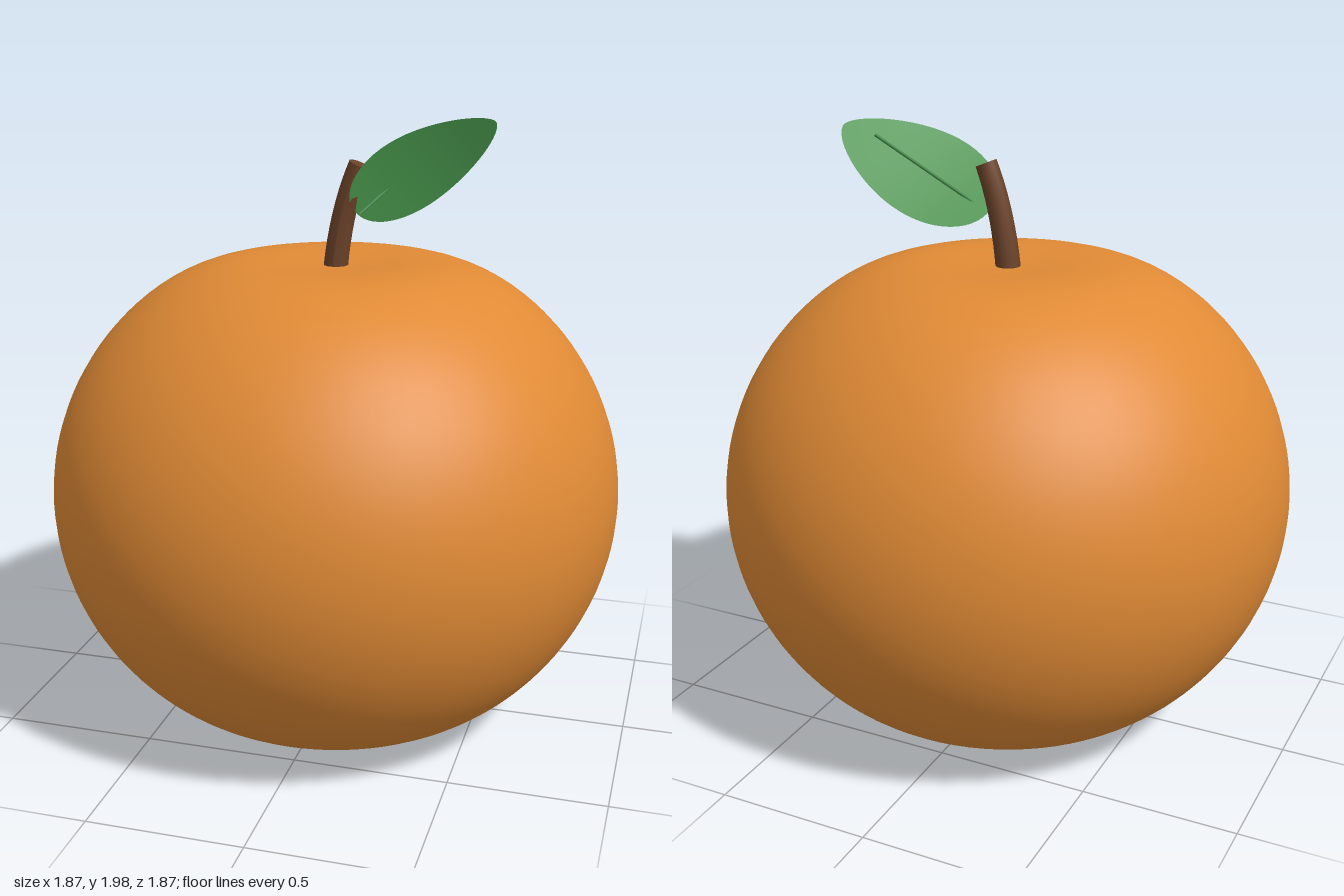
import * as THREE from 'three';

const mat = (name, color) => {
  const m = new THREE.MeshStandardMaterial({ color });
  m.name = name;
  return m;
};

const add = (group, name, geometry, material) => {
  const mesh = new THREE.Mesh(geometry, material);
  mesh.name = name;
  group.add(mesh);
  return mesh;
};

// Squashed sphere profile with a shallow dimple at both poles
function bodyGeometry() {
  const R = 0.935, H = 0.865, steps = 64, pts = [];
  for (let i = 0; i <= steps; i++) {
    const a = Math.PI * (i / steps - 0.5);
    const r = i === 0 || i === steps ? 0 : R * Math.cos(a);
    const dimple = 0.112 * Math.exp(-(r * r) / 0.122);
    pts.push(new THREE.Vector2(r, 0.771 + H * Math.sin(a) - Math.sign(a) * dimple));
  }
  return new THREE.LatheGeometry(pts, 80);
}

// Leaf frame: base point, length, width and the direction of the back face
const base = new THREE.Vector3(0.07, 1.69, 0);
const along = new THREE.Vector3(0.4, 0.28, -0.2);
const across = new THREE.Vector3(0.13, -0.19, -0.21);
const normal = along.clone().cross(across).normalize();

const leafPoint = (s, u) => {
  const half = 0.5 * Math.pow(Math.max(0, Math.sin(Math.PI * Math.pow(s, 0.75))), 0.6);
  const bow = 0.02 * Math.sin(Math.PI * s);
  return base.clone()
    .addScaledVector(along, s)
    .addScaledVector(across, half * u)
    .addScaledVector(normal, bow);
};

// Plane bent into a rounded, pointed blade
function leafGeometry() {
  const geo = new THREE.PlaneGeometry(2, 1, 8, 28);
  const pos = geo.attributes.position;
  for (let i = 0; i < pos.count; i++) {
    const t = pos.getY(i) + 0.5;
    const s = (1 - Math.cos(Math.PI * t)) / 2;
    const p = leafPoint(s, pos.getX(i));
    pos.setXYZ(i, p.x, p.y, p.z);
  }
  geo.computeVertexNormals();
  return geo;
}

// Tapered, bent stem with closed ends
function stemGeometry() {
  const curve = new THREE.QuadraticBezierCurve3(
    new THREE.Vector3(-0.004, 1.48, 0),
    new THREE.Vector3(0.012, 1.69, 0),
    new THREE.Vector3(0.077, 1.848, 0));
  const geo = new THREE.CylinderGeometry(0.035, 0.041, 1, 12, 10);
  const pos = geo.attributes.position;
  for (let i = 0; i < pos.count; i++) {
    const t = THREE.MathUtils.clamp(pos.getY(i) + 0.5, 0, 1);
    const c = curve.getPoint(t), d = curve.getTangent(t);
    const x = pos.getX(i);
    pos.setXYZ(i, c.x + x * d.y, c.y - x * d.x, pos.getZ(i));
  }
  geo.computeVertexNormals();
  return geo;
}

export function createModel() {
  const model = new THREE.Group();
  model.name = 'orangeFruit';

  const peel = mat('orange peel', 0xe08a35);
  const bark = mat('brown stem', 0x6b4229);
  const green = mat('leaf green', 0x4a9a4e);
  green.side = THREE.DoubleSide;
  const veinGreen = mat('vein green', 0x3f8a45);

  add(model, 'fruitBody', bodyGeometry(), peel);
  add(model, 'stem', stemGeometry(), bark);
  add(model, 'leaf', leafGeometry(), green);

  // Straight midrib that passes through the blade and rises behind it
  const rib = new THREE.LineCurve3(
    new THREE.Vector3(0.08, 1.692, 0.006),
    new THREE.Vector3(0.345, 1.95, -0.225));
  add(model, 'leafMidrib', new THREE.TubeGeometry(rib, 1, 0.005, 6), veinGreen);

  return model;
}
